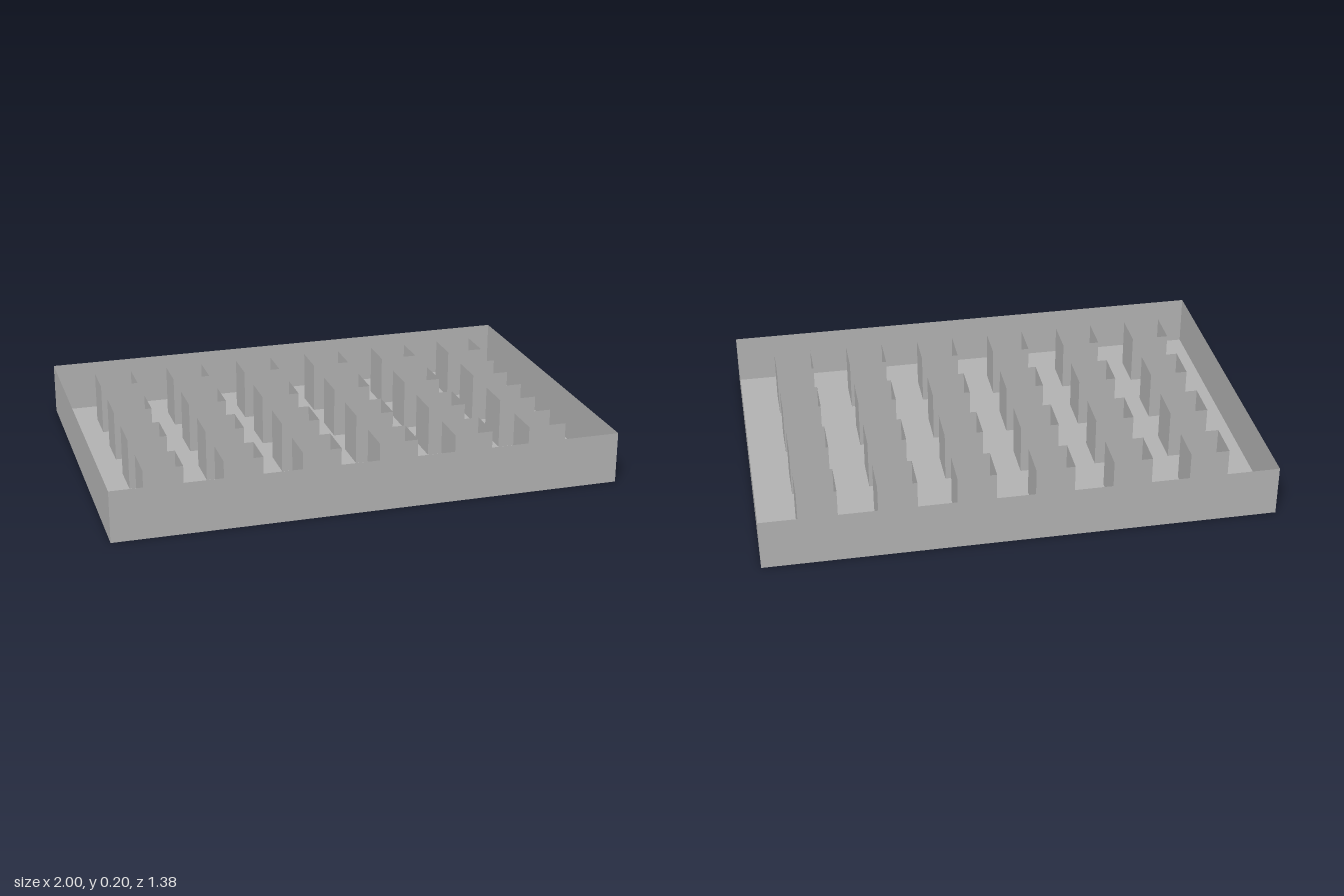
import * as THREE from 'three';

const WIDTH = 2, DEPTH = 1.385, HEIGHT = 0.205;
const CELL = WIDTH / 13; // tubes and gaps are each one cell wide
const COLUMNS = 6, ROWS = 4;

const grey = new THREE.MeshStandardMaterial({ color: 0xb2b2b2, side: THREE.DoubleSide, flatShading: true });
grey.name = 'grey';

// Open four-sided sheet wall standing on y = 0
function squareWall(width, depth) {
  const g = new THREE.CylinderGeometry(Math.SQRT1_2, Math.SQRT1_2, 1, 4, 1, true);
  g.rotateY(Math.PI / 4);
  g.scale(width, HEIGHT, depth);
  g.translate(0, HEIGHT / 2, 0);
  const flat = g.toNonIndexed();
  flat.computeVertexNormals();
  return flat;
}

function rectangle(path, x, y, w, h) {
  path.moveTo(x - w / 2, y - h / 2);
  path.lineTo(x + w / 2, y - h / 2);
  path.lineTo(x + w / 2, y + h / 2);
  path.lineTo(x - w / 2, y + h / 2);
  path.closePath();
  return path;
}

export function createModel() {
  const model = new THREE.Group();
  model.name = 'tray';
  const add = (name, geometry) => {
    const mesh = new THREE.Mesh(geometry, grey);
    mesh.name = name;
    model.add(mesh);
    return mesh;
  };

  // Outer rim
  add('outerWall', squareWall(WIDTH, DEPTH));

  // Square tubes, each opening through the floor
  const floor = rectangle(new THREE.Shape(), 0, 0, WIDTH, DEPTH);
  const tube = squareWall(CELL, CELL);
  for (let i = 0; i < COLUMNS; i++) {
    for (let j = 0; j < ROWS; j++) {
      const x = (i - (COLUMNS - 1) / 2) * 2 * CELL;
      const z = (j - (ROWS - 1) / 2) * 2 * CELL;
      floor.holes.push(rectangle(new THREE.Path(), x, -z, CELL, CELL));
      add('squareTube', tube).position.set(x, 0, z);
    }
  }

  // Perforated floor
  add('floor', new THREE.ShapeGeometry(floor).rotateX(-Math.PI / 2));
  return model;
}
